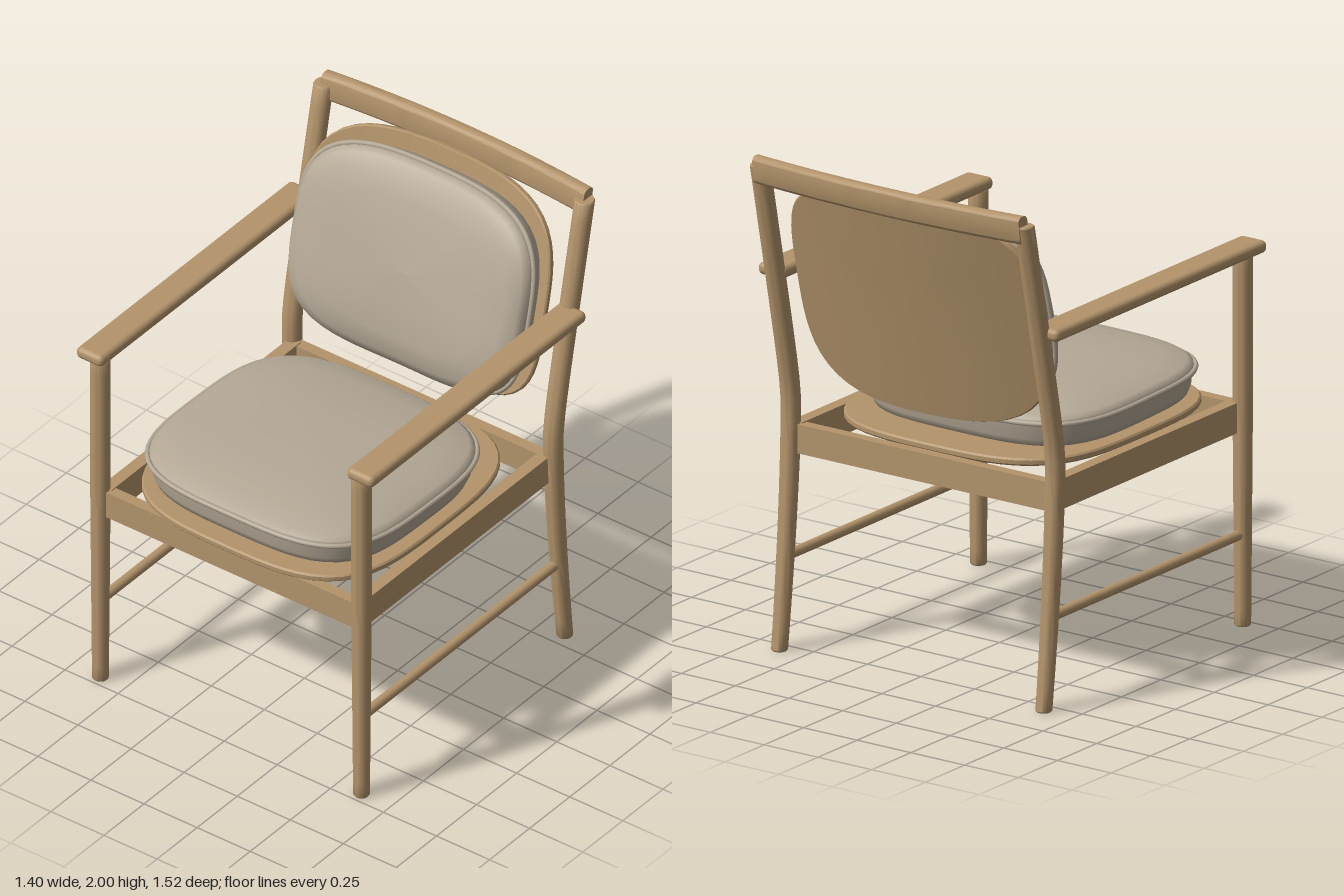
import * as THREE from 'three';
import { toCreasedNormals } from 'three/addons/utils/BufferGeometryUtils.js';
import { RoundedBoxGeometry } from 'three/addons/geometries/RoundedBoxGeometry.js';

const wood = new THREE.MeshStandardMaterial({ color: 0xb3946b });
const fabric = new THREE.MeshStandardMaterial({ color: 0xb5a997 });
const TILT = 0.238; // lean of the backrest

function add(parent, name, geometry, material, x = 0, y = 0, z = 0) {
  const mesh = new THREE.Mesh(geometry, material);
  mesh.name = name;
  mesh.position.set(x, y, z);
  parent.add(mesh);
  return mesh;
}

// Moves every vertex by a rule
function warp(geometry, rule) {
  const p = geometry.attributes.position;
  const v = new THREE.Vector3();
  for (let i = 0; i < p.count; i++) {
    rule(v.fromBufferAttribute(p, i));
    p.setXYZ(i, v.x, v.y, v.z);
  }
  geometry.computeVertexNormals();
  return geometry;
}

// Point on a rounded-square outline in the xy plane
function outline(t, hx, hy, n = 3.5) {
  const c = Math.cos(t), s = Math.sin(t);
  const r = (Math.abs(c) ** n + Math.abs(s) ** n) ** (-1 / n);
  return new THREE.Vector3(hx * c * r, hy * s * r, 0);
}

// Stacks scaled outlines; profile is [scale, height] from the underside up
function pad(hx, hy, profile, rule) {
  const N = 72, pos = [], index = [];
  profile.forEach(([scale, h], i) => {
    for (let j = 0; j < N; j++) {
      const p = outline(j / N * Math.PI * 2, hx * scale, hy * scale);
      pos.push(p.x, p.y, h);
      if (i === profile.length - 1) continue;
      const a = i * N + j, b = i * N + (j + 1) % N;
      index.push(a, b, b + N, a, b + N, a + N);
    }
  });
  const g = new THREE.BufferGeometry();
  g.setAttribute('position', new THREE.Float32BufferAttribute(pos, 3));
  g.setIndex(index);
  return warp(g, rule);
}

// Thin cord round the seam of a cushion
function piping(hx, hy, rule) {
  const pts = [];
  for (let j = 0; j < 72; j++) {
    const p = outline(j / 72 * Math.PI * 2, hx, hy);
    rule(p);
    pts.push(p);
  }
  return new THREE.TubeGeometry(new THREE.CatmullRomCurve3(pts, true), 144, 0.01, 8, true);
}

const board = [[0, -0.015], [0.5, -0.015], [0.8, -0.015], [0.99, -0.015], [1, -0.008],
  [1, 0.008], [0.99, 0.015], [0.8, 0.015], [0.5, 0.015], [0, 0.015]];
const seatPad = [[0, -0.105], [0.5, -0.105], [0.91, -0.105], [0.95, -0.095], [0.968, -0.07], [0.975, -0.03],
  [0.99, 0], [0.985, 0.015], [0.95, 0.03], [0.8, 0.05], [0.55, 0.066], [0.3, 0.073], [0, 0.075]];
const backPad = [[0, -0.085], [0.5, -0.085], [0.9, -0.085], [0.95, -0.07], [0.97, -0.03],
  [0.99, 0], [0.985, 0.025], [0.95, 0.055], [0.85, 0.085], [0.65, 0.105], [0.35, 0.115], [0, 0.12]];

// Straight below the seat with a slight splay, leaning back above it
function backLegZ(y) {
  if (y < 0.95) return -0.487 - 0.073 * ((0.95 - y) / 0.95) ** 1.5;
  const d = y - 0.95;
  return -0.487 - 0.216 * (Math.sqrt(d * d + 0.01) - 0.1);
}

function leg(height, zAt) {
  const pts = [new THREE.Vector2(0, 0), new THREE.Vector2(0.028, 0)];
  for (let i = 0; i <= 24; i++) {
    const y = 0.005 + (height - 0.01) * i / 24;
    pts.push(new THREE.Vector2(0.032 + 0.007 * Math.min(1, y / 0.9), y));
  }
  pts.push(new THREE.Vector2(0.035, height), new THREE.Vector2(0, height));
  const g = new THREE.LatheGeometry(pts, 24);
  return toCreasedNormals(warp(g, v => { v.z += zAt(v.y); }), 0.7);
}

// Slightly bowed rail with a rounded section
function crestRail() {
  const w = 0.028, h = 0.056, r = 0.022;
  const s = new THREE.Shape();
  s.moveTo(-w + r, -h);
  s.absarc(w - r, -h + r, r, -Math.PI / 2, 0);
  s.absarc(w - r, h - r, r, 0, Math.PI / 2);
  s.absarc(-w + r, h - r, r, Math.PI / 2, Math.PI);
  s.absarc(-w + r, -h + r, r, Math.PI, Math.PI * 1.5);
  const g = new THREE.ExtrudeGeometry(s, { depth: 1.24, steps: 20, bevelEnabled: false, curveSegments: 6 });
  g.translate(0, 0, -0.62).rotateY(Math.PI / 2);
  return toCreasedNormals(warp(g, v => { v.z += 0.09 * v.x * v.x - 0.1 * v.y; }), 0.7);
}

export function createModel() {
  const chair = new THREE.Group();
  chair.name = 'armchair';

  // Legs, arms and side rails, mirrored
  for (const [side, s] of [['left', 1], ['right', -1]]) {
    add(chair, side + 'FrontLeg', leg(1.49, () => 0.708), wood, 0.615 * s);
    add(chair, side + 'BackLeg', leg(1.96, backLegZ), wood, 0.615 * s);
    add(chair, side + 'Armrest', new RoundedBoxGeometry(0.126, 0.05, 1.346, 4, 0.022), wood, 0.637 * s, 1.505, 0.083);
    add(chair, side + 'SeatRail', new THREE.BoxGeometry(0.05, 0.12, 1.18), wood, 0.592 * s, 0.83, 0.11);
    add(chair, side + 'Stretcher', new THREE.CylinderGeometry(0.02, 0.02, 1.21, 16), wood, 0.615 * s, 0.363, 0.1)
      .rotation.x = Math.PI / 2;
  }
  add(chair, 'frontSeatRail', new THREE.BoxGeometry(1.2, 0.115, 0.045), wood, 0, 0.828, 0.698);
  add(chair, 'backSeatRail', new THREE.BoxGeometry(1.2, 0.115, 0.045), wood, 0, 0.828, -0.475);
  add(chair, 'crestRail', crestRail(), wood, 0, 1.944, -0.731);

  // Seat board, gently dished, with its cushion
  const dish = v => { v.z += 0.025 * v.x * v.x; };
  const seatBoard = pad(0.575, 0.598, board, dish).rotateX(-Math.PI / 2);
  add(chair, 'seatBoard', toCreasedNormals(seatBoard, 0.6), wood, 0, 0.895, 0.147);

  const seat = new THREE.Group();
  seat.name = 'seatCushion';
  seat.position.set(0, 1.025, 0.2);
  seat.rotation.x = -Math.PI / 2 - 0.025;
  add(seat, 'seatCushionBody', pad(0.553, 0.518, seatPad, () => {}), fabric);
  add(seat, 'seatCushionPiping', piping(0.552, 0.517, () => {}), fabric);
  chair.add(seat);

  // Back board curved around the sitter, with its cushion
  const curve = k => v => { v.z += k * v.x * v.x; };
  const backBoard = add(chair, 'backBoard',
    toCreasedNormals(pad(0.575, 0.45, board, curve(0.28)), 0.6), wood, 0, 1.48, -0.585);
  backBoard.rotation.x = -TILT;

  const back = new THREE.Group();
  back.name = 'backCushion';
  back.position.set(0, 1.495, -0.486);
  back.rotation.x = -TILT;
  // Fuller towards the lower back
  const lumbar = v => {
    if (v.z > 0) v.z *= 1 - 0.25 * v.y / 0.41;
    v.z += 0.22 * v.x * v.x;
  };
  add(back, 'backCushionBody', pad(0.55, 0.412, backPad, lumbar), fabric);
  add(back, 'backCushionPiping', piping(0.548, 0.411, curve(0.22)), fabric);
  chair.add(back);

  return chair;
}
